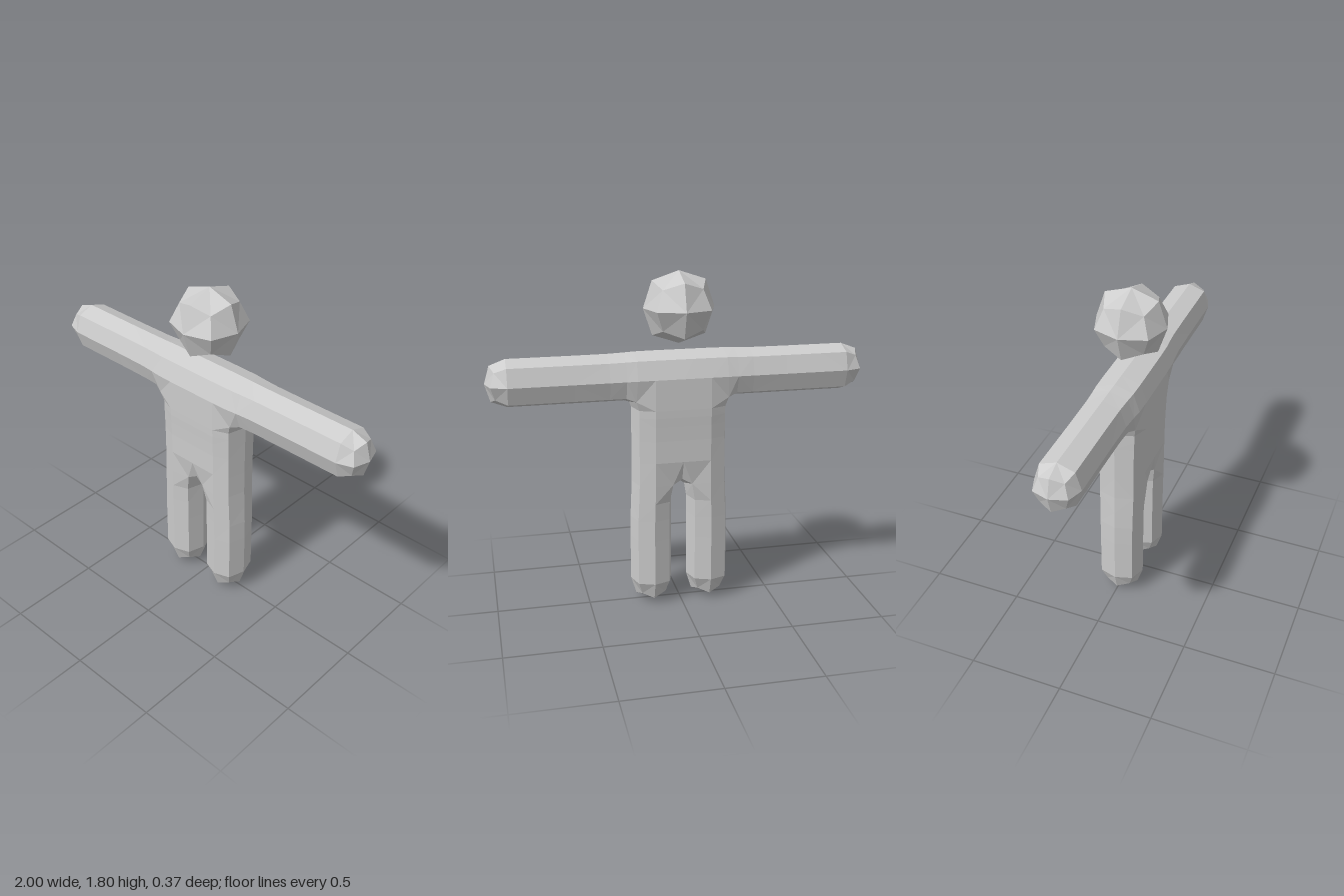
import * as THREE from 'three';

// Closed quad cage, one cell deep, from a grid of filled cells
function makeCage(xs, ys, filled, place) {
  const points = [], faces = [], ids = new Map();
  const id = (i, j, k) => {
    const key = `${i},${j},${k}`;
    if (!ids.has(key)) {
      ids.set(key, points.length);
      points.push(place(xs[i], ys[j], k ? 1 : -1));
    }
    return ids.get(key);
  };
  const solid = (i, j) => i >= 0 && j >= 0 && i < xs.length - 1 && j < ys.length - 1 && filled(i, j);
  for (let i = 0; i < xs.length - 1; i++) {
    for (let j = 0; j < ys.length - 1; j++) {
      if (!solid(i, j)) continue;
      const I = i + 1, J = j + 1;
      faces.push([id(i, j, 1), id(I, j, 1), id(I, J, 1), id(i, J, 1)]);
      faces.push([id(I, j, 0), id(i, j, 0), id(i, J, 0), id(I, J, 0)]);
      if (!solid(i + 1, j)) faces.push([id(I, j, 1), id(I, j, 0), id(I, J, 0), id(I, J, 1)]);
      if (!solid(i - 1, j)) faces.push([id(i, j, 0), id(i, j, 1), id(i, J, 1), id(i, J, 0)]);
      if (!solid(i, j + 1)) faces.push([id(i, J, 1), id(I, J, 1), id(I, J, 0), id(i, J, 0)]);
      if (!solid(i, j - 1)) faces.push([id(i, j, 0), id(I, j, 0), id(I, j, 1), id(i, j, 1)]);
    }
  }
  return { points, faces };
}

const average = (list) => list.reduce((s, p) => s.add(p), new THREE.Vector3()).divideScalar(list.length);

// One Catmull-Clark step: rounds the cage into chunky facets
function roundCage({ points, faces }) {
  const centres = faces.map((f) => average(f.map((v) => points[v])));
  const edges = new Map();
  const around = points.map(() => ({ centres: [], mids: [] }));
  const edgeOf = (a, b) => {
    const key = a < b ? `${a}_${b}` : `${b}_${a}`;
    if (!edges.has(key)) {
      edges.set(key, { a, b, centres: [] });
      const mid = average([points[a], points[b]]);
      around[a].mids.push(mid);
      around[b].mids.push(mid);
    }
    return edges.get(key);
  };
  faces.forEach((f, n) => f.forEach((v, c) => {
    edgeOf(v, f[(c + 1) % 4]).centres.push(centres[n]);
    around[v].centres.push(centres[n]);
  }));
  edges.forEach((e) => { e.point = average([points[e.a], points[e.b], ...e.centres]); });
  const moved = points.map((p, v) => {
    const n = around[v].mids.length;
    return average(around[v].centres)
      .addScaledVector(average(around[v].mids), 2)
      .addScaledVector(p, n - 3)
      .divideScalar(n);
  });
  const position = [];
  faces.forEach((f, n) => f.forEach((v, c) => {
    const next = edgeOf(v, f[(c + 1) % 4]).point;
    const last = edgeOf(f[(c + 3) % 4], v).point;
    for (const p of [moved[v], next, centres[n], moved[v], centres[n], last]) position.push(p.x, p.y, p.z);
  }));
  const geometry = new THREE.BufferGeometry();
  geometry.setAttribute('position', new THREE.Float32BufferAttribute(position, 3));
  geometry.computeVertexNormals();
  return geometry;
}

export function createModel() {
  const group = new THREE.Group();
  group.name = 'figure';
  const grey = new THREE.MeshStandardMaterial({ color: 0xcccccc, flatShading: true });
  grey.name = 'plain grey';

  // Body: torso, outstretched arms and legs in one skin
  const half = [0.04, 0.255, 0.33, 0.78, 1];
  const xs = [...half.map((x) => -x).reverse(), ...half];
  const ys = [0, 0.25, 0.5, 0.68, 0.96, 1.07, 1.14, 1.39];
  const filled = (i, j) => {
    if (j === 6) return true;           // shoulders and arms
    if (j >= 3) return i >= 3 && i <= 5; // torso
    return i === 3 || i === 5;          // legs
  };
  const place = (x, y, side) => {
    const arm = Math.abs(x) > 0.3, leg = y < 0.6;
    const depth = arm ? 0.117 : leg ? 0.1225 : y > 1 ? 0.133 : 0.127;
    const top = y > 1.3 && !arm ? 0.007 : 0;
    return new THREE.Vector3(leg ? x * 1.05 : x, y + top, side * depth + (arm ? 0.002 : 0.006));
  };
  const body = new THREE.Mesh(roundCage(makeCage(xs, ys, filled, place)), grey);
  body.name = 'body';

  // Head: a rounded cube floating over the shoulders
  const r = 0.187;
  const cube = makeCage([-r, r], [-r, r], () => true, (x, y, side) => new THREE.Vector3(x, y, side * r));
  const head = new THREE.Mesh(roundCage(cube), grey);
  head.name = 'head';
  head.position.y = 1.618;

  group.add(body, head);
  return group;
}
